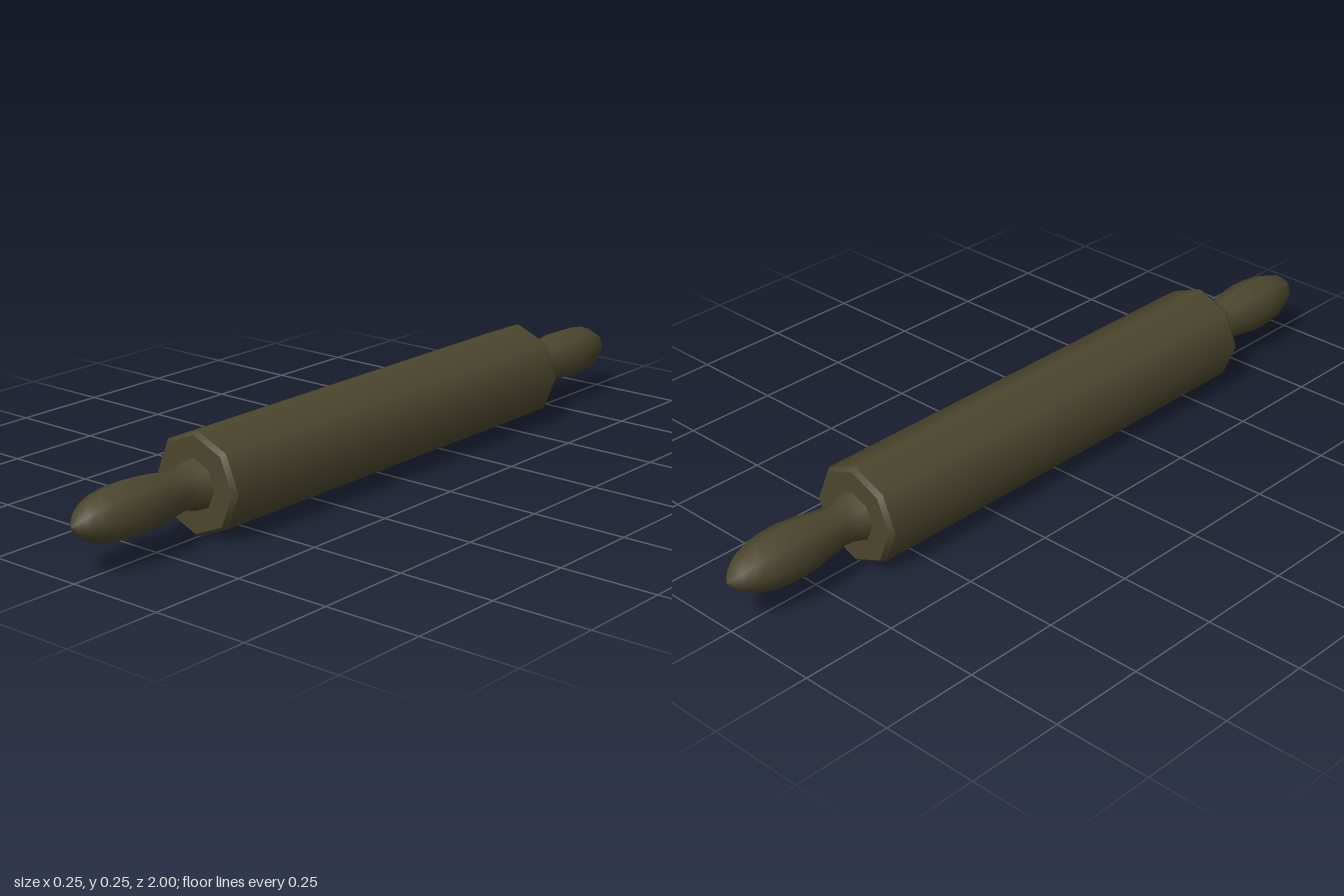
import * as THREE from 'three';

const SIDES = 8;

export function createModel() {
  const wood = new THREE.MeshStandardMaterial({ color: 0x4b462e });
  wood.name = 'darkWood';

  const group = new THREE.Group();
  group.name = 'rollingPin';

  // Turned part along z: profile is a list of [radius, z]
  const turned = (name, profile, parent) => {
    const geometry = new THREE.LatheGeometry(profile.map(([r, z]) => new THREE.Vector2(r, z)), SIDES);
    geometry.rotateX(Math.PI / 2);
    const mesh = new THREE.Mesh(geometry, wood);
    mesh.name = name;
    parent.add(mesh);
  };

  // Barrel
  turned('barrel', [[0.127, -0.614], [0.127, 0.614]], group);

  // Both ends: bevelled rim, flat cap and handle
  for (const [name, angle] of [['frontEnd', 0], ['backEnd', Math.PI]]) {
    const end = new THREE.Group();
    end.name = name;
    end.rotation.y = angle;
    turned('rim', [[0.127, 0.614], [0.118, 0.626]], end);
    turned('cap', [[0.118, 0.626], [0, 0.626]], end);
    turned('handle', [
      [0.065, 0.622], [0.057, 0.641], [0.051, 0.663], [0.05, 0.685], [0.055, 0.72],
      [0.063, 0.765], [0.068, 0.815], [0.067, 0.865], [0.06, 0.912], [0.047, 0.95],
      [0.031, 0.976], [0.015, 0.991], [0, 1],
    ], end);
    group.add(end);
  }

  group.position.y = 0.127;
  const model = new THREE.Group();
  model.name = 'model';
  model.add(group);
  return model;
}
